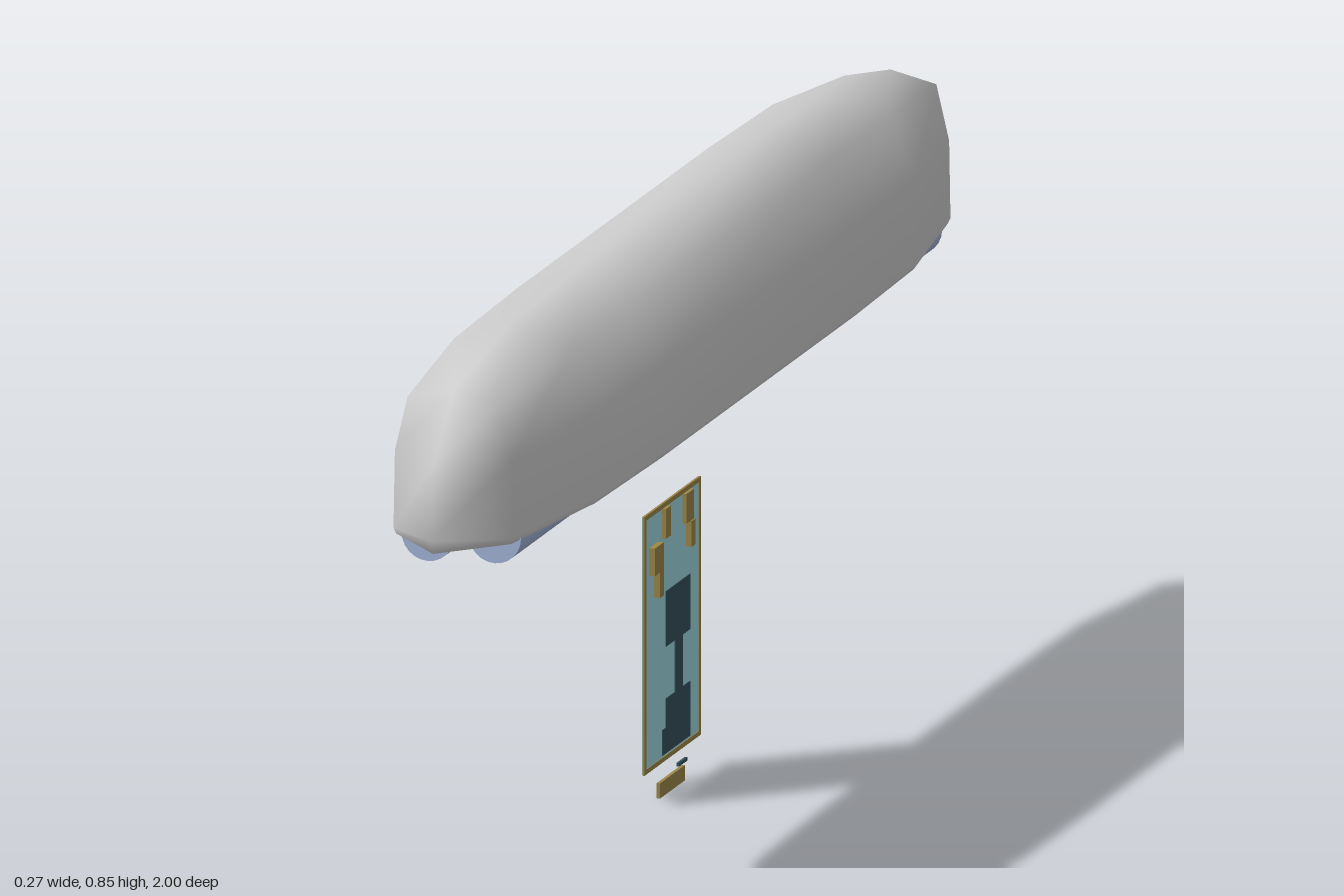
import * as THREE from 'three';
import { mergeVertices } from 'three/addons/utils/BufferGeometryUtils.js';

const paint = (color, side = THREE.FrontSide) =>
  new THREE.MeshStandardMaterial({ color, side });

// Skin stretched over rows of points; every row has the same length
function loft(rows) {
  const n = rows[0].length, index = [];
  for (let r = 0; r < rows.length - 1; r++) {
    for (let i = 0; i < n - 1; i++) {
      const a = r * n + i, b = a + n;
      index.push(a, a + 1, b, a + 1, b + 1, b);
    }
  }
  const g = new THREE.BufferGeometry();
  g.setAttribute('position', new THREE.Float32BufferAttribute(rows.flat(2), 3));
  g.setIndex(index);
  const merged = mergeVertices(g, 1e-5);
  merged.computeVertexNormals();
  return merged;
}

// Half sections of the cover from rim to ridge: [x, y, z]
const section = (z, pts) => pts.map(([x, y]) => [x, y, z]);
const HALF = [
  section(0.40, [[0.128, 0.59], [0.133, 0.598], [0.129, 0.725], [0.089, 0.813], [0, 0.847]]),
  section(0.66, [[0.122, 0.59], [0.127, 0.598], [0.124, 0.722], [0.087, 0.809], [0, 0.842]]),
  section(0.905, [[0.085, 0.59], [0.089, 0.598], [0.087, 0.71], [0.068, 0.79], [0, 0.805]]),
  [[0, 0.59, 0.99], [0, 0.61, 1], [0, 0.72, 0.985], [0, 0.805, 0.905], [0, 0.805, 0.905]],
];

function makeCover() {
  const cover = new THREE.Group();
  cover.name = 'cover';
  const mat = paint(0xcccccc, THREE.DoubleSide);

  // Mirror each half section in x, and the set of sections in z
  const full = (half, s) => [
    ...half.map(([x, y, z]) => [x, y, z * s]),
    ...half.slice(0, -1).reverse().map(([x, y, z]) => [-x, y, z * s]),
  ];
  const rows = [
    ...[...HALF].reverse().map((h) => full(h, -1)),
    ...HALF.map((h) => full(h, 1)),
  ];
  const shell = new THREE.Mesh(loft(rows), mat);
  shell.name = 'coverShell';
  cover.add(shell);

  // Narrow lip turned inward around the open underside
  for (const side of [1, -1]) {
    const lipRows = rows.map((row) => {
      const [x, y, z] = row[0];
      return [[side * Math.max(0, x - 0.01), y, z * (x === 0 ? 0.985 : 1)], [side * x, y, z]];
    });
    const lip = new THREE.Mesh(loft(lipRows), mat);
    lip.name = side > 0 ? 'leftRimLip' : 'rightRimLip';
    cover.add(lip);
  }
  return cover;
}

// Long round tube lying along z
function makeTube(name, x, back, front) {
  const g = new THREE.CylinderGeometry(0.039, 0.039, front - back, 24);
  g.rotateX(Math.PI / 2);
  const tube = new THREE.Mesh(g, paint(0xa6b8dc));
  tube.position.set(x, 0.592, (front + back) / 2);
  tube.name = name;
  return tube;
}

// Block given by its limits in x, y and z
function block(name, [x0, x1], [y0, y1], [z0, z1], mat) {
  const m = new THREE.Mesh(new THREE.BoxGeometry(x1 - x0, y1 - y0, z1 - z0), mat);
  m.position.set((x0 + x1) / 2, (y0 + y1) / 2, (z0 + z1) / 2);
  m.name = name;
  return m;
}

function makePanel() {
  const panel = new THREE.Group();
  panel.name = 'panel';
  const teal = paint(0x9fdae2), gold = paint(0x9c8848), dark = paint(0x364f5a);

  panel.add(block('panelSheet', [-0.002, 0.001], [0.047, 0.419], [-0.113, 0.118], teal));

  // Thin frame
  for (const [y, z] of [
    [[0.046, 0.053], [-0.114, 0.119]], [[0.413, 0.42], [-0.114, 0.119]],
    [[0.053, 0.413], [-0.114, -0.107]], [[0.053, 0.413], [0.112, 0.119]],
  ]) panel.add(block('panelFrame', [-0.0015, 0.002], y, z, gold));

  // Dark waisted inlay
  for (const [y, z] of [
    [[0.21, 0.29], [-0.07, 0.03]], [[0.135, 0.21], [-0.04, -0.008]],
    [[0.056, 0.135], [-0.07, 0.03]], [[0.056, 0.093], [0.03, 0.045]],
  ]) panel.add(block('panelInlay', [0, 0.0022], y, z, dark));

  // Raised tabs near the top
  for (const [x, y, z] of [
    [0.010, [0.33, 0.37], [0.062, 0.098]], [0.010, [0.293, 0.33], [0.062, 0.078]],
    [0.007, [0.37, 0.413], [0.024, 0.045]],
    [0.007, [0.37, 0.413], [-0.072, -0.04]], [0.009, [0.333, 0.37], [-0.072, -0.056]],
  ]) panel.add(block('panelTab', [0.001, x], y, z, gold));

  // Loose bar below the panel
  panel.add(block('lowerBar', [0.001, 0.006], [0, 0.022], [-0.037, 0.066], gold));
  panel.add(block('lowerBarClip', [0.002, 0.006], [0.026, 0.031], [-0.047, -0.013], dark));
  return panel;
}

export function createModel() {
  const model = new THREE.Group();
  model.name = 'hangingLamp';
  model.add(
    makeCover(),
    makeTube('leftTube', 0.052, -0.865, 0.88),
    makeTube('rightTube', -0.04, -0.9, 0.9),
    makePanel(),
  );
  return model;
}
